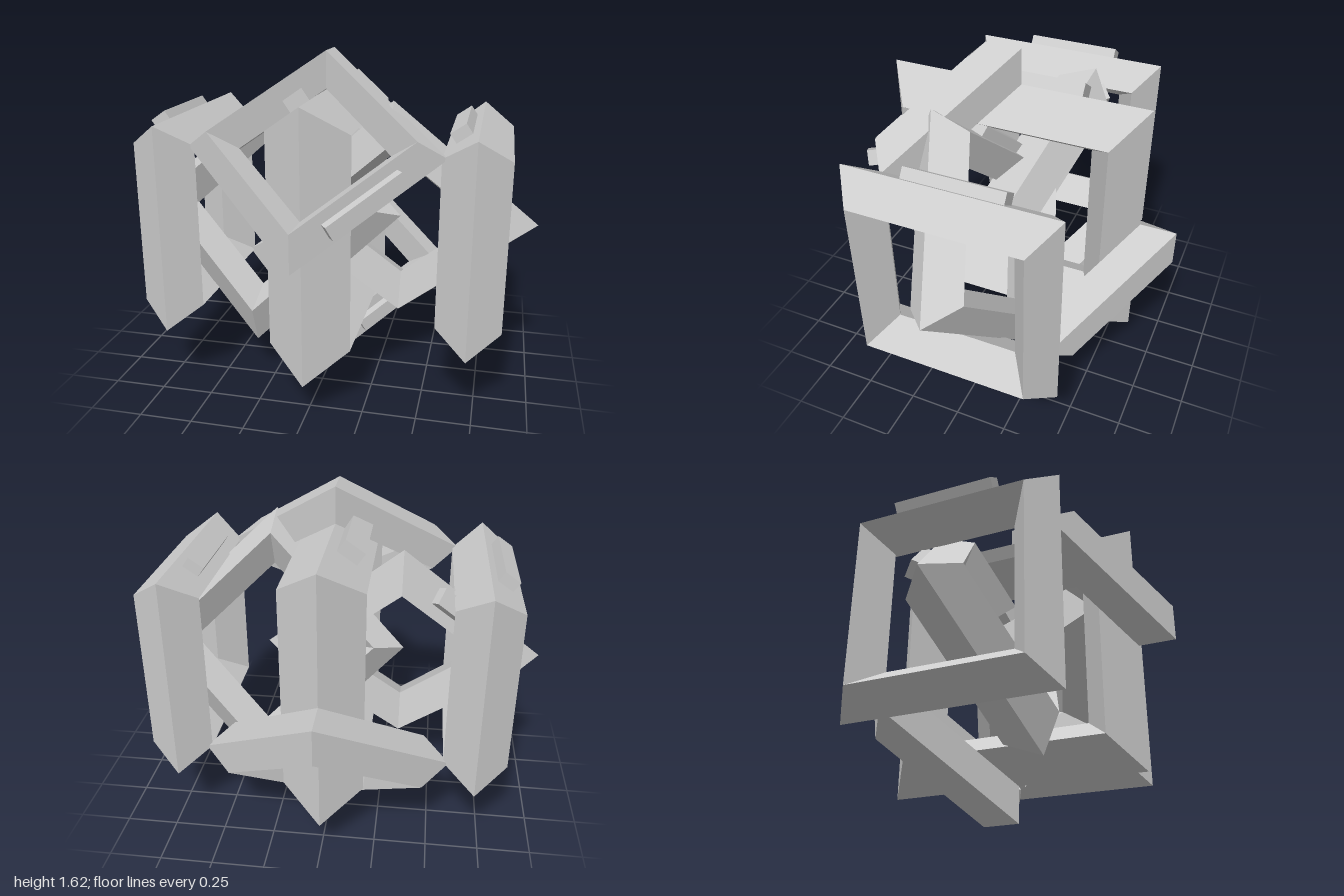
import * as THREE from 'three';

const material = new THREE.MeshStandardMaterial({ color: 0xcccccc, flatShading: true, side: THREE.DoubleSide });
const V = (x, y, z) => new THREE.Vector3(x, y, z);
const CENTRE_Y = 0.81;

// Square ring with a rhombic bar section and one small raised block.
// R: half side at the outer ridge; axis: ring normal; side: towards the bar with the block.
function makeFrame(name, R, centre, axis, side) {
  const frame = new THREE.Group();
  frame.name = name;

  // Bar section as (half side, offset along the axis), turned in four steps
  const section = [[0.585, 0], [0.79, -0.3], [1, 0], [0.79, 0.3], [0.585, 0]]
    .map(([r, h]) => new THREE.Vector2(r * R * Math.SQRT2, h * R));
  const ring = new THREE.Mesh(new THREE.LatheGeometry(section, 4, Math.PI / 4), material);
  ring.name = name + 'Ring';

  // Block lying on the sloped outer face of one bar
  const slope = Math.atan2(0.21, 0.3);
  const n = [Math.cos(slope), -Math.sin(slope)];
  const t = [Math.sin(slope), Math.cos(slope)];
  const block = new THREE.Mesh(new THREE.BoxGeometry(0.13 * R, 0.17 * R, 0.94 * R), material);
  block.name = name + 'Block';
  block.position.set(
    (0.895 + 0.04 * n[0] + 0.02 * t[0]) * R,
    (-0.15 + 0.04 * n[1] + 0.02 * t[1]) * R, 0);
  block.rotation.z = -slope;

  frame.add(ring, block);
  const a = axis.clone().normalize(), u = side.clone().normalize();
  frame.quaternion.setFromRotationMatrix(
    new THREE.Matrix4().makeBasis(u, a, u.clone().cross(a)));
  frame.position.copy(centre).add(V(0, CENTRE_Y, 0));
  return frame;
}

export function createModel() {
  const model = new THREE.Group();
  model.name = 'interlockedFrames';

  // Three upright parallel frames
  const x = V(1, 0, 0), up = V(0, 1, 0);
  model.add(
    makeFrame('rightFrame', 0.5, V(-0.71, 0, 0), x, up),
    makeFrame('middleFrame', 0.635, V(0, 0, 0), x, up),
    makeFrame('leftFrame', 0.5, V(0.71, 0, 0), x, up));

  // Two diamond frames leaning at 45 degrees, upper front and lower back
  const lean = V(0, Math.SQRT1_2, Math.SQRT1_2);
  for (const [name, s] of [['upperFrontDiamond', 1], ['lowerBackDiamond', -1]]) {
    model.add(makeFrame(name, 0.415, lean.clone().multiplyScalar(0.56 * s),
      lean.clone().negate(), V(Math.SQRT1_2, -0.5, 0.5)));
  }

  // Two diamond frames crossing through the centre, tilted opposite ways
  const tilt = 0.41, c = Math.cos(tilt);
  for (const [name, s] of [['leftCrossingDiamond', 1], ['rightCrossingDiamond', -1]]) {
    const k = s * Math.sin(tilt);
    model.add(makeFrame(name, 0.474, V(0.33 * s, 0, 0), V(0, -k, c), V(-1, c, k)));
  }
  return model;
}
